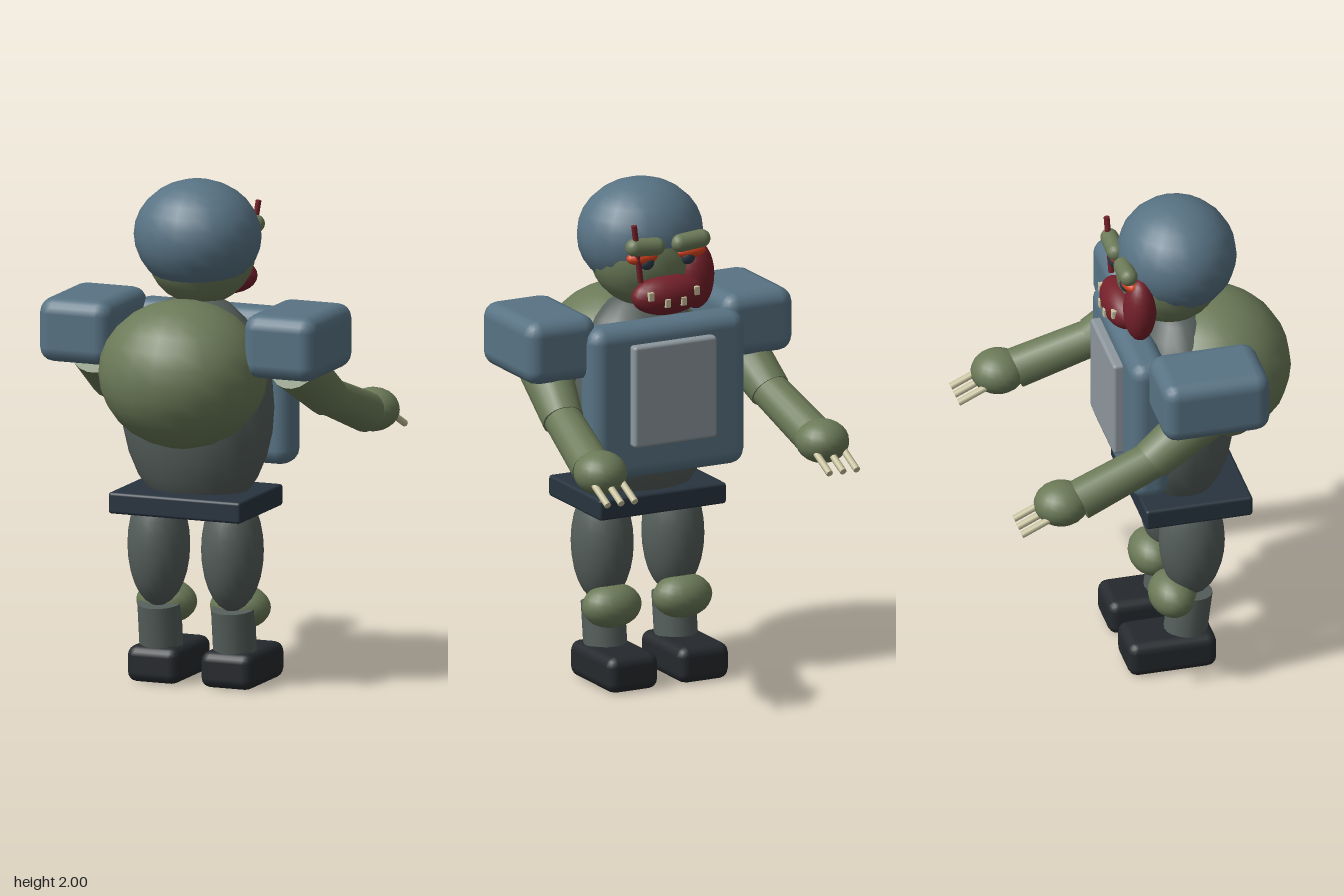
import * as THREE from 'three';
import { RoundedBoxGeometry } from 'three/addons/geometries/RoundedBoxGeometry.js';

const mat = (color) => new THREE.MeshStandardMaterial({ color });
const BLUE = mat(0x587384), GREEN = mat(0x6b7a58), GREY = mat(0x555f5b), BELT = mat(0x28343f);
const SHOE = mat(0x25292d), RED = mat(0x74202a), CREAM = mat(0xc8c29e), PLATE = mat(0x8d979d);
const ORANGE = mat(0xd8431f), DARK = mat(0x2b3a47);

export function createModel() {
  const model = new THREE.Group();
  model.name = 'armouredFigure';

  const add = (name, geometry, material, pos) => {
    const mesh = new THREE.Mesh(geometry, material);
    mesh.name = name;
    mesh.position.set(...pos);
    model.add(mesh);
    return mesh;
  };
  const ball = (name, material, pos, radii) => {
    const mesh = add(name, new THREE.SphereGeometry(1, 20, 14), material, pos);
    mesh.scale.set(...radii);
    return mesh;
  };
  const block = (name, material, pos, size, radius) =>
    add(name, new RoundedBoxGeometry(...size, 2, radius), material, pos);
  // Straight tapered rod between two points
  const rod = (name, material, from, to, r0, r1 = r0, sides = 18) => {
    const a = new THREE.Vector3(...from), b = new THREE.Vector3(...to);
    const dir = b.clone().sub(a);
    const mid = a.clone().add(b).multiplyScalar(0.5);
    const mesh = add(name, new THREE.CylinderGeometry(r1, r0, dir.length(), sides), material, mid.toArray());
    mesh.quaternion.setFromUnitVectors(new THREE.Vector3(0, 1, 0), dir.normalize());
    return mesh;
  };

  // Body
  ball('torso', GREY, [0, 1.105, 0.16], [0.31, 0.45, 0.225]);
  ball('backHump', GREEN, [0, 1.254, 0.31], [0.335, 0.292, 0.3]);
  block('belt', BELT, [0, 0.735, 0.182], [0.56, 0.085, 0.43], 0.012);
  block('chestArmour', BLUE, [0, 1.17, -0.024], [0.68, 0.62, 0.155], 0.06);
  block('chestPlate', PLATE, [0, 1.205, -0.115], [0.366, 0.41, 0.05], 0.014);

  // Head and face
  ball('head', GREEN, [0, 1.71, 0.13], [0.215, 0.21, 0.21]);
  ball('helmet', BLUE, [0, 1.78, 0.162], [0.253, 0.22, 0.233]);
  ball('muzzle', RED, [0, 1.585, -0.065], [0.155, 0.08, 0.075]);
  ball('cheekGuard', RED, [-0.147, 1.635, -0.025], [0.075, 0.135, 0.065]);
  rod('antenna', RED, [0.12, 1.65, -0.07], [0.155, 1.885, -0.08], 0.012, 0.012, 8);
  for (const x of [-0.1, -0.035, 0.035, 0.1]) {
    const outer = Math.abs(x) > 0.05;
    block('tooth', CREAM, [x, outer ? 1.6 : 1.57, outer ? -0.117 : -0.133], [0.024, 0.035, 0.02], 0.003);
  }

  for (const [s, side] of [[1, 'left'], [-1, 'right']]) {
    const part = (name) => side + name;

    // Brow and eye
    const brow = add(part('Brow'), new THREE.CapsuleGeometry(0.036, 0.095, 5, 14), GREEN, [s * 0.1, 1.79, -0.07]);
    brow.rotation.z = Math.PI / 2 + s * 0.08;
    ball(part('Eye'), ORANGE, [s * 0.105, 1.745, -0.055], [0.068, 0.03, 0.034]);
    ball(part('Pupil'), DARK, [s * 0.09, 1.725, -0.065], [0.03, 0.03, 0.025]);

    // Shoulder and arm
    block(part('ShoulderPad'), BLUE, [s * 0.434, 1.397, 0.181], [0.308, 0.256, 0.432], 0.06);
    ball(part('Shoulder'), GREEN, [s * 0.42, 1.29, 0.12], [0.11, 0.11, 0.11]);
    rod(part('UpperArm'), GREEN, [s * 0.42, 1.3, 0.18], [s * 0.457, 1.133, -0.06], 0.105, 0.082);
    rod(part('Forearm'), GREEN, [s * 0.452, 1.15, -0.02], [s * 0.49, 1.02, -0.36], 0.074, 0.081);
    ball(part('Hand'), GREEN, [s * 0.49, 1.018, -0.43], [0.105, 0.086, 0.108]);
    for (const dx of [-0.06, 0, 0.06])
      rod(part('Finger'), CREAM, [s * 0.49 + dx, 1.0, -0.47], [s * 0.49 + dx, 0.935, -0.605], 0.014, 0.014, 8);

    // Leg
    ball(part('Thigh'), GREY, [s * 0.156, 0.545, 0.182], [0.122, 0.245, 0.13]);
    ball(part('Knee'), GREEN, [s * 0.156, 0.305, 0.103], [0.123, 0.088, 0.093]);
    rod(part('Shin'), GREY, [s * 0.156, 0.1, 0.152], [s * 0.156, 0.31, 0.178], 0.086);
    block(part('Shoe'), SHOE, [s * 0.156, 0.0725, 0.083], [0.222, 0.145, 0.356], 0.04);
  }
  return model;
}
